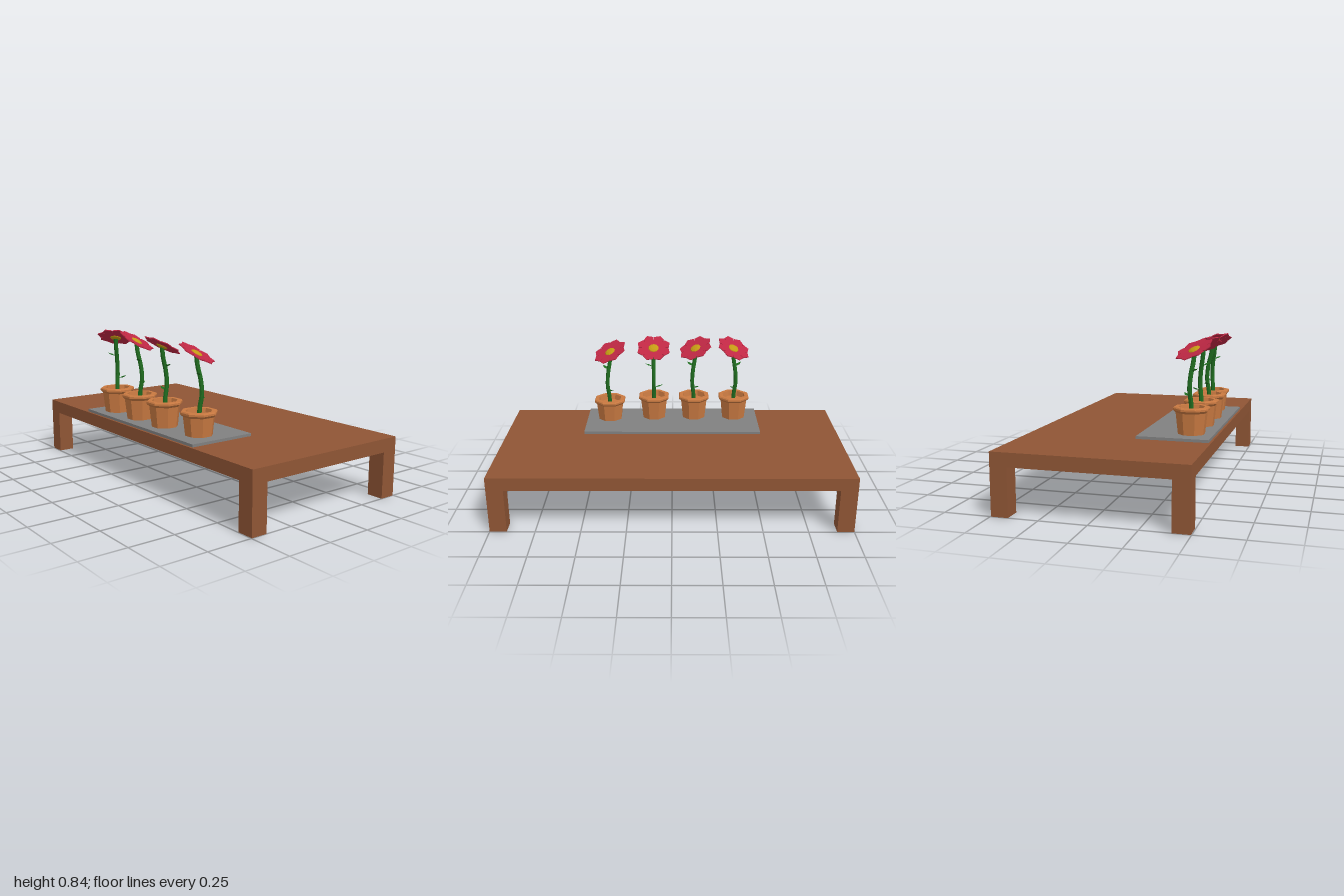
import * as THREE from 'three';

const mat = (color) => new THREE.MeshStandardMaterial({ color, flatShading: true });
const wood = mat(0x8f5535), slate = mat(0x808080), clay = mat(0xc87941);
const green = mat(0x1f6b1f), red = mat(0xbf2844), yellow = mat(0xc39a14);

function add(parent, name, geometry, material, x = 0, y = 0, z = 0) {
  const mesh = new THREE.Mesh(geometry, material);
  mesh.name = name;
  mesh.position.set(x, y, z);
  parent.add(mesh);
  return mesh;
}

const v2 = (points) => points.map(([x, y]) => new THREE.Vector2(x, y));

// Eight-sided pot: outer wall, flared rim, sunken soil
const potGeometry = new THREE.LatheGeometry(v2([
  [0, 0], [0.073, 0], [0.086, 0.115], [0.1, 0.128], [0.1, 0.138],
  [0.095, 0.144], [0.072, 0.144], [0.066, 0.112], [0, 0.112],
]), 8, Math.PI / 8);

// Stem bows towards the side the flower leans to, then back
const stemCurve = new THREE.CatmullRomCurve3([
  [0, 0.1], [0.004, 0.16], [0.015, 0.23], [0.008, 0.31], [-0.008, 0.38], [-0.014, 0.436],
].map(([x, y]) => new THREE.Vector3(x, y, 0)));
const stemGeometry = new THREE.TubeGeometry(stemCurve, 14, 0.0125, 7);

// Thin petal, broad near the end with a blunt point
const petalGeometry = new THREE.ExtrudeGeometry(new THREE.Shape(v2([
  [0.015, -0.008], [0.035, -0.017], [0.086, -0.033], [0.107, 0],
  [0.086, 0.033], [0.035, 0.017], [0.015, 0.008],
])), { depth: 0.005, bevelEnabled: false });
petalGeometry.rotateX(-Math.PI / 2);

const leafGeometry = new THREE.OctahedronGeometry(1, 0).scale(0.027, 0.004, 0.013);

function flowerHead() {
  const head = new THREE.Group();
  head.name = 'flowerHead';
  for (let i = 0; i < 8; i++) {
    const petal = add(head, 'petal', petalGeometry, red);
    petal.rotation.set(0, (i + 0.5) * Math.PI / 4, 0.05);
  }
  add(head, 'flowerCentre', new THREE.SphereGeometry(0.035, 10, 6).scale(1, 0.35, 1), yellow, 0, 0.004, 0);
  return head;
}

// lean is the heading of the flower in degrees from +x towards +z
function pottedFlower(lean, side) {
  const plant = new THREE.Group();
  plant.name = 'pottedFlower';
  add(plant, 'pot', potGeometry, clay);
  const upper = new THREE.Group();
  upper.name = 'flower';
  upper.rotation.y = -lean * Math.PI / 180;
  plant.add(upper);
  add(upper, 'stem', stemGeometry, green);

  // One leaf low on one side, one higher on the other
  for (const [y, x, dir] of [[0.205, 0.012, -side], [0.34, 0.004, side]]) {
    const leaf = add(upper, 'leaf', leafGeometry, green, x, y, dir * 0.031);
    leaf.rotation.set(0, -dir * Math.PI / 2, 0.35);
  }

  const head = flowerHead();
  head.position.set(-0.014, 0.438, 0);
  head.rotation.z = -0.52;
  upper.add(head);
  return plant;
}

export function createModel() {
  const model = new THREE.Group();
  model.name = 'flowerTable';

  // Table
  add(model, 'tableTop', new THREE.BoxGeometry(0.994, 0.073, 2), wood, 0, 0.2885, 0);
  for (const sx of [-1, 1]) for (const sz of [-1, 1]) {
    add(model, 'tableLeg', new THREE.BoxGeometry(0.09, 0.252, 0.094), wood, sx * 0.452, 0.126, sz * 0.953);
  }

  // Tray under the pots
  add(model, 'tray', new THREE.BoxGeometry(0.384, 0.015, 1.064), slate, -0.293, 0.3325, 0);

  // Row of potted flowers: x, y, z, lean heading, leaf side
  for (const [x, y, z, lean, side] of [
    [-0.338, 0.326, 0.39, 48, 1],
    [-0.365, 0.34, 0.115, 0, 1],
    [-0.367, 0.34, -0.135, 45, 1],
    [-0.365, 0.34, -0.385, -45, -1],
  ]) {
    const plant = pottedFlower(lean, side);
    plant.position.set(x, y, z);
    model.add(plant);
  }
  return model;
}
